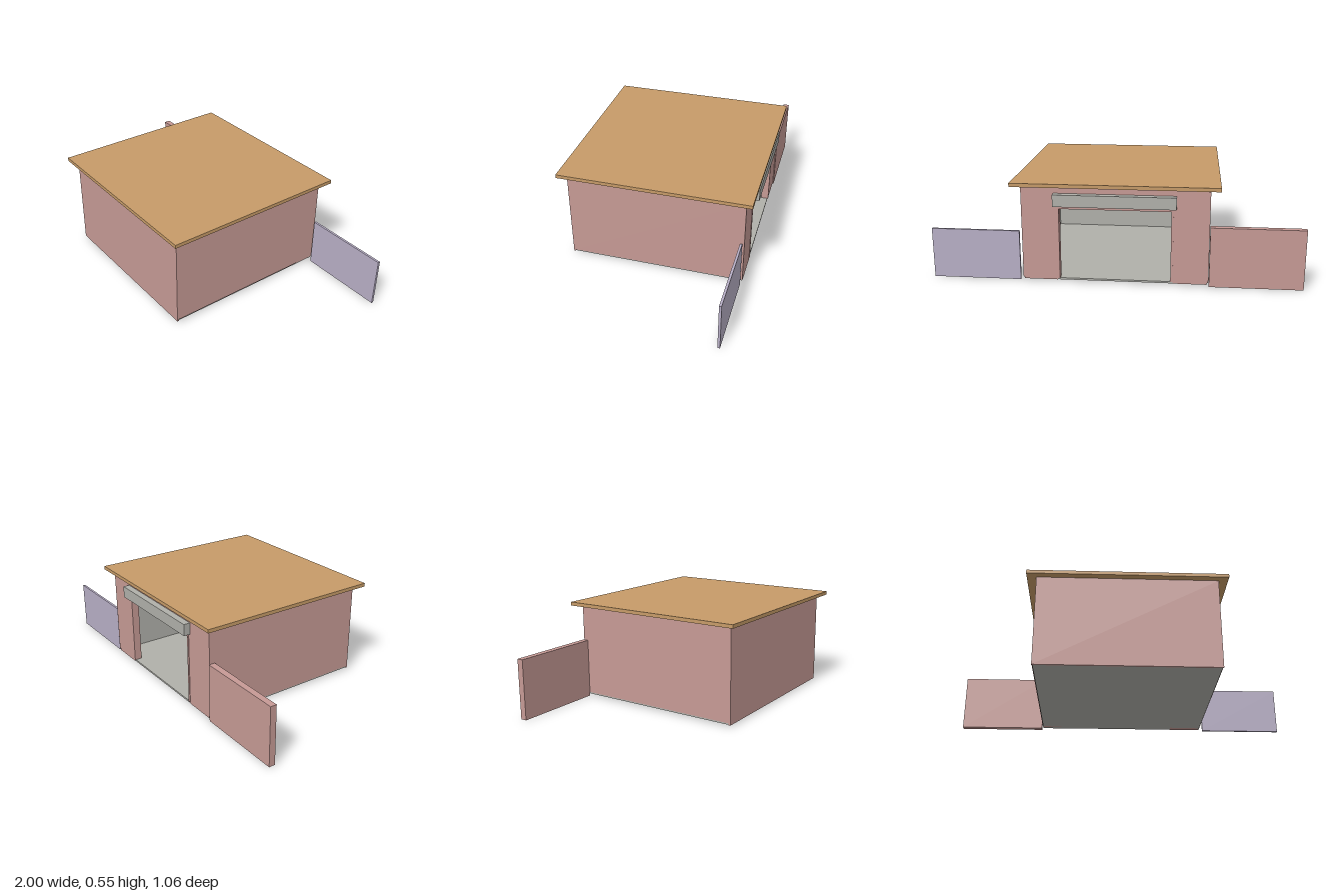
import * as THREE from 'three';

const material = (name, color) => {
  const m = new THREE.MeshStandardMaterial({ color });
  m.name = name;
  return m;
};

export function createModel() {
  const pink = material('pinkWall', 0xc69a95);
  const grey = material('concreteGrey', 0xb0b0aa);
  const tan = material('tanRoof', 0xc69b68);
  const lilac = material('lilacPanel', 0xb8afc6);

  const model = new THREE.Group();
  model.name = 'garage';

  // Box given by its low and high limits on each axis
  const box = (name, mat, [x0, x1], [y0, y1], [z0, z1]) => {
    const geometry = new THREE.BoxGeometry(x1 - x0, y1 - y0, z1 - z0);
    geometry.translate((x0 + x1) / 2, (y0 + y1) / 2, (z0 + z1) / 2);
    const mesh = new THREE.Mesh(geometry, mat);
    mesh.name = name;
    model.add(mesh);
  };

  // Floor and ceiling slabs
  box('floorSlab', grey, [-0.495, 0.495], [0.01, 0.02], [-0.488, 0.48]);
  box('ceilingSlab', grey, [-0.495, 0.495], [0.52, 0.533], [-0.45, 0.48]);

  // Front wall with its grey inner lining
  box('frontWall', pink, [-0.5, 0.5], [0.01, 0.533], [0.48, 0.49]);
  box('frontLining', grey, [-0.47, 0.47], [0.02, 0.52], [0.465, 0.48]);

  for (const side of [-1, 1]) {
    const span = (a, b) => (side > 0 ? [a, b] : [-b, -a]);
    // Side walls: pink outside, grey inside
    box('sideWall', pink, span(0.49, 0.5), [0.02, 0.52], [-0.49, 0.48]);
    box('sideLining', grey, span(0.47, 0.49), [0.02, 0.52], [-0.45, 0.48]);
    // Back wall piers and door jambs
    box('backPier', pink, span(0.31, 0.49), [0.01, 0.533], [-0.49, -0.45]);
    box('doorJamb', pink, span(0.298, 0.31), [0.02, 0.42], [-0.493, -0.45]);
  }

  // Wall and frame over the doorway
  box('backLintel', pink, [-0.31, 0.31], [0.42, 0.533], [-0.49, -0.45]);
  box('doorHead', pink, [-0.298, 0.298], [0.41, 0.42], [-0.493, -0.45]);

  // Roller door housing
  box('shutterHousing', grey, [-0.325, 0.325], [0.43, 0.495], [-0.527, -0.49]);

  // Overhanging flat roof
  box('roof', tan, [-0.552, 0.552], [0.533, 0.553], [-0.53, 0.53]);

  // Free-standing yard wall and fence panel
  box('yardWall', pink, [-1, -0.503], [0, 0.33], [-0.495, -0.46]);
  box('fencePanel', lilac, [0.517, 1], [0, 0.277], [-0.482, -0.469]);

  return model;
}
